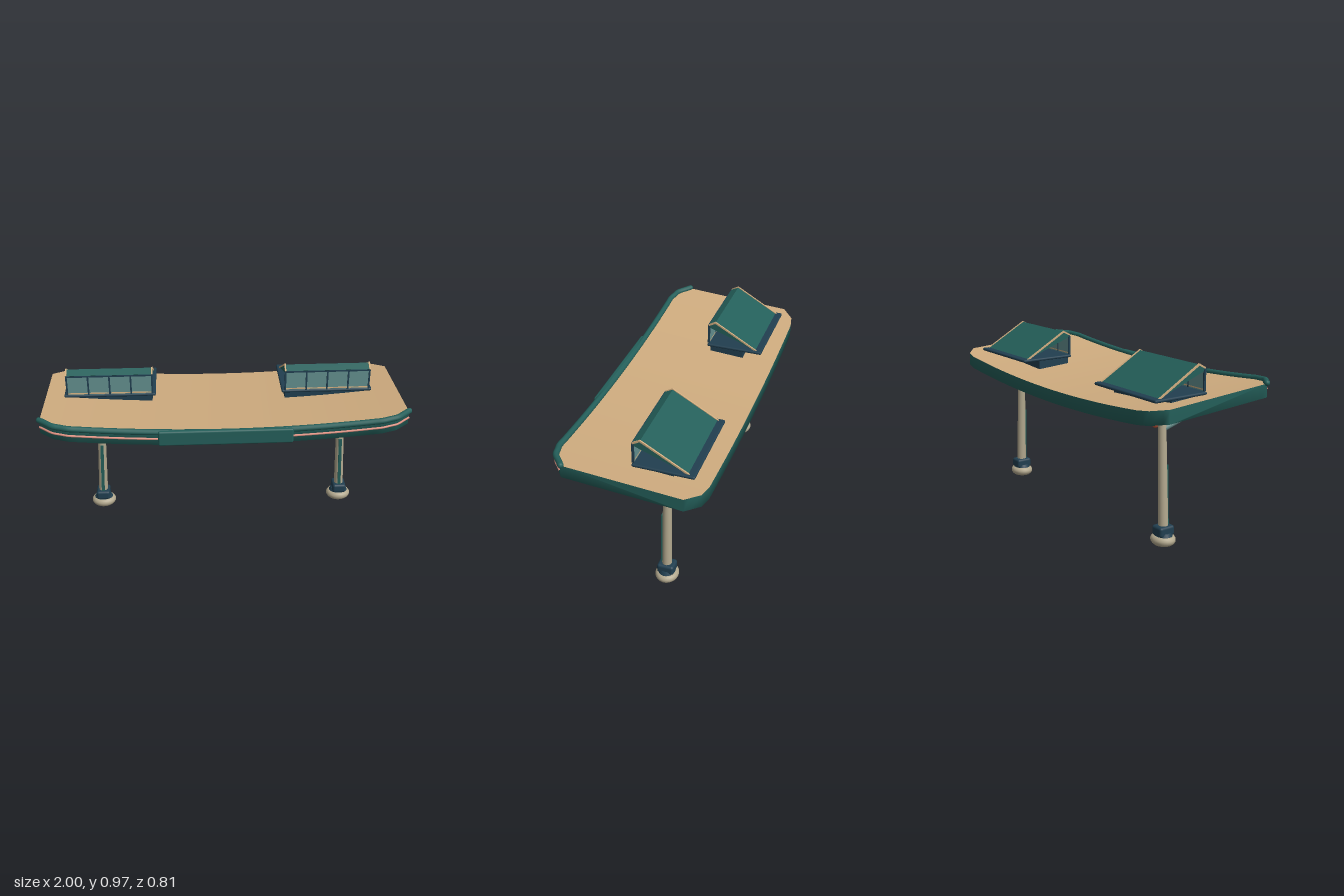
import * as THREE from 'three';
import { RoundedBoxGeometry } from 'three/addons/geometries/RoundedBoxGeometry.js';

const mat = (name, color, side = THREE.FrontSide) => {
  const m = new THREE.MeshStandardMaterial({ color, side });
  m.name = name;
  return m;
};

export function createModel() {
  const model = new THREE.Group();
  model.name = 'canopy';
  const sand = mat('sand', 0xcfac7f);
  const teal = mat('teal', 0x245f5a);
  const navy = mat('navy', 0x213f50);
  const stone = mat('stone', 0xb2a88e);
  const rust = mat('rust', 0xb9553a);
  const coral = mat('coral', 0xdd9080);
  const glass = mat('glass', 0x64908f);
  const steel = mat('steel', 0x648886);

  const add = (parent, name, geo, material, x = 0, y = 0, z = 0) => {
    const m = new THREE.Mesh(geo, material);
    m.name = name;
    m.position.set(x, y, z);
    parent.add(m);
    return m;
  };
  const V = (x, y, z) => new THREE.Vector3(x, y, z);

  // Roof rule: sags along x, rises toward the front, chamfered corners in plan
  const topY = (x, z) => 0.764 + 0.07 * z + 0.06 * x * x;
  const T = 0.072;
  const edge = (x, a, b, c) => {
    const ax = Math.abs(x);
    if (ax <= 0.83) return a;
    return ax <= 0.91 ? a + (b - a) * (ax - 0.83) / 0.08 : b + (c - b) * (ax - 0.91) / 0.075;
  };
  const front = x => edge(x, 0.38, 0.36, 0.3);
  const back = x => edge(x, -0.41, -0.395, -0.33);

  const half = [0.1, 0.2, 0.3, 0.4, 0.5, 0.6, 0.7, 0.78, 0.83, 0.87, 0.91, 0.96, 0.985];
  const stations = [...half.map(x => -x).reverse(), 0, ...half];

  // Skin cross-sections into a surface, optionally closing both ends
  const skin = (section, capped) => {
    const rows = stations.map(section);
    const n = rows[0].length, last = (rows.length - 1) * n, index = [];
    for (let i = 0; i < rows.length - 1; i++)
      for (let j = 0; j < n - 1; j++) {
        const a = i * n + j, b = a + n;
        index.push(a, a + 1, b, b, a + 1, b + 1);
      }
    if (capped)
      for (let j = 1; j < n - 1; j++) index.push(last, last + j, last + j + 1, 0, j + 1, j);
    const g = new THREE.BufferGeometry();
    g.setAttribute('position', new THREE.Float32BufferAttribute(rows.flat(2), 3));
    g.setIndex(index);
    g.computeVertexNormals();
    return g;
  };
  add(model, 'roofDeck', skin(x => [back(x), front(x)].map(z => [x, topY(x, z), z])), sand);
  add(model, 'roofShell', skin(x => {
    const f = front(x), b = back(x);
    const low = [f, f - 0.04, b + 0.04, b].map(z => [x, topY(x, z) - T, z]);
    return [[x, topY(x, f), f], ...low, [x, topY(x, b), b]];
  }, true), teal);

  // Gutter rail along the front edge, with rounded ends
  const rail = (xs, dy, dz) => new THREE.CatmullRomCurve3(
    xs.map(x => V(x, topY(x, front(x)) + dy, front(x) + dz)), false, 'centripetal');
  add(model, 'gutterRail', new THREE.TubeGeometry(rail(stations, 0.004, -0.003), 120, 0.016, 12), teal);
  for (const s of [-1, 1]) {
    add(model, 'gutterEnd', new THREE.SphereGeometry(0.016, 12, 8), teal,
      s * 0.985, topY(0.985, 0.3) + 0.004, 0.297);
    // Accent line below the rail
    const xs = [0.355, ...half.filter(x => x > 0.36)].map(x => s * x);
    add(model, 'accentLine', new THREE.TubeGeometry(rail(xs, -0.034, 0.003), 60, 0.006, 8), coral);
  }
  add(model, 'centreFascia', new RoundedBoxGeometry(0.715, 0.086, 0.03, 3, 0.01), teal, -0.003, 0.771, 0.386);

  // Legs with footing, collar, front strip and forward brace
  const footProfile = [[0, 0], [0.054, 0], [0.064, 0.008], [0.071, 0.02], [0.071, 0.032],
    [0.064, 0.043], [0.05, 0.05], [0, 0.05]].map(p => new THREE.Vector2(...p));
  for (const s of [-1, 1]) {
    const leg = new THREE.Group();
    leg.name = s > 0 ? 'leftLeg' : 'rightLeg';
    model.add(leg);
    const z = -0.147;
    add(leg, 'footing', new THREE.LatheGeometry(footProfile, 32), stone, s * 0.724, 0, z).scale.z = 0.89;
    add(leg, 'collarSkirt', new THREE.CylinderGeometry(0.046, 0.055, 0.018, 24), navy, s * 0.724, 0.057, z).scale.z = 0.85;
    add(leg, 'collar', new RoundedBoxGeometry(0.08, 0.056, 0.094, 3, 0.014), navy, s * 0.724, 0.075, z);
    const lean = s * Math.atan2(0.026, 0.64);
    add(leg, 'post', new THREE.CylinderGeometry(0.021, 0.027, 0.66, 24), stone, s * 0.711, 0.41, z).rotation.z = lean;
    add(leg, 'postStrip', new THREE.BoxGeometry(0.018, 0.33, 0.01), teal, s * 0.717, 0.258, -0.121).rotation.z = lean;

    const brace = new THREE.CatmullRomCurve3([V(s * 0.708, 0.617, -0.14), V(s * 0.705, 0.652, -0.02),
      V(s * 0.702, 0.69, 0.1), V(s * 0.7, 0.723, 0.21), V(s * 0.695, 0.737, 0.36)]);
    add(leg, 'brace', new THREE.TubeGeometry(brace, 32, 0.015, 12), steel);
    add(leg, 'braceEnd', new THREE.SphereGeometry(0.015, 12, 8), steel, s * 0.708, 0.617, -0.14);

    // Short inner strut
    const c = -0.02;
    const strut = new THREE.CatmullRomCurve3([V(c + s * 0.607, 0.618, -0.13),
      V(c + s * 0.602, 0.655, -0.02), V(c + s * 0.585, 0.69, 0.07), V(c + s * 0.575, 0.718, 0.14)]);
    add(leg, 'innerStrut', new THREE.TubeGeometry(strut, 24, 0.017, 12), rust);
    add(leg, 'strutEnd', new THREE.SphereGeometry(0.017, 12, 8), rust, c + s * 0.607, 0.618, -0.13);
  }

  // Extrude a (z, y) outline along x, centred on the origin
  const extrudeX = (pts, width) => {
    const shape = new THREE.Shape(pts.map(([z, y]) => new THREE.Vector2(-z, y)));
    const g = new THREE.ExtrudeGeometry(shape, { depth: width, bevelEnabled: false });
    return g.translate(0, 0, -width / 2).rotateY(Math.PI / 2);
  };

  // Roof lights: base frame, glazed front, sloping wedge lid with trimmed ends
  for (const cx of [-0.63, 0.588]) {
    const light = new THREE.Group();
    light.name = 'roofLight';
    light.position.x = cx;
    model.add(light);
    add(light, 'curb', new THREE.BoxGeometry(0.47, 0.058, 0.2), navy, 0, 0.782, -0.125);
    add(light, 'baseFrame', new RoundedBoxGeometry(0.51, 0.017, 0.328, 2, 0.008), navy, 0, 0.816, -0.175);
    add(light, 'lid', extrudeX([[-0.014, 0.943], [-0.055, 0.964], [-0.305, 0.822], [-0.025, 0.925]], 0.476), teal);
    for (const s of [-1, 1])
      add(light, 'lidTrim', extrudeX([[-0.012, 0.945], [-0.055, 0.969], [-0.312, 0.822],
        [-0.295, 0.822], [-0.055, 0.958], [-0.016, 0.937]], 0.008), sand, s * 0.237);
    add(light, 'windowPane', new THREE.BoxGeometry(0.47, 0.115, 0.005), glass, 0, 0.882, -0.018);
    add(light, 'windowHead', new THREE.BoxGeometry(0.478, 0.008, 0.012), navy, 0, 0.938, -0.016);
    add(light, 'windowSill', new THREE.BoxGeometry(0.472, 0.006, 0.01), sand, 0, 0.833, -0.016);
    for (let i = 0; i < 5; i++)
      add(light, 'mullion', new THREE.BoxGeometry(0.009, 0.116, 0.012), navy, -0.236 + i * 0.118, 0.882, -0.016);
  }
  return model;
}
